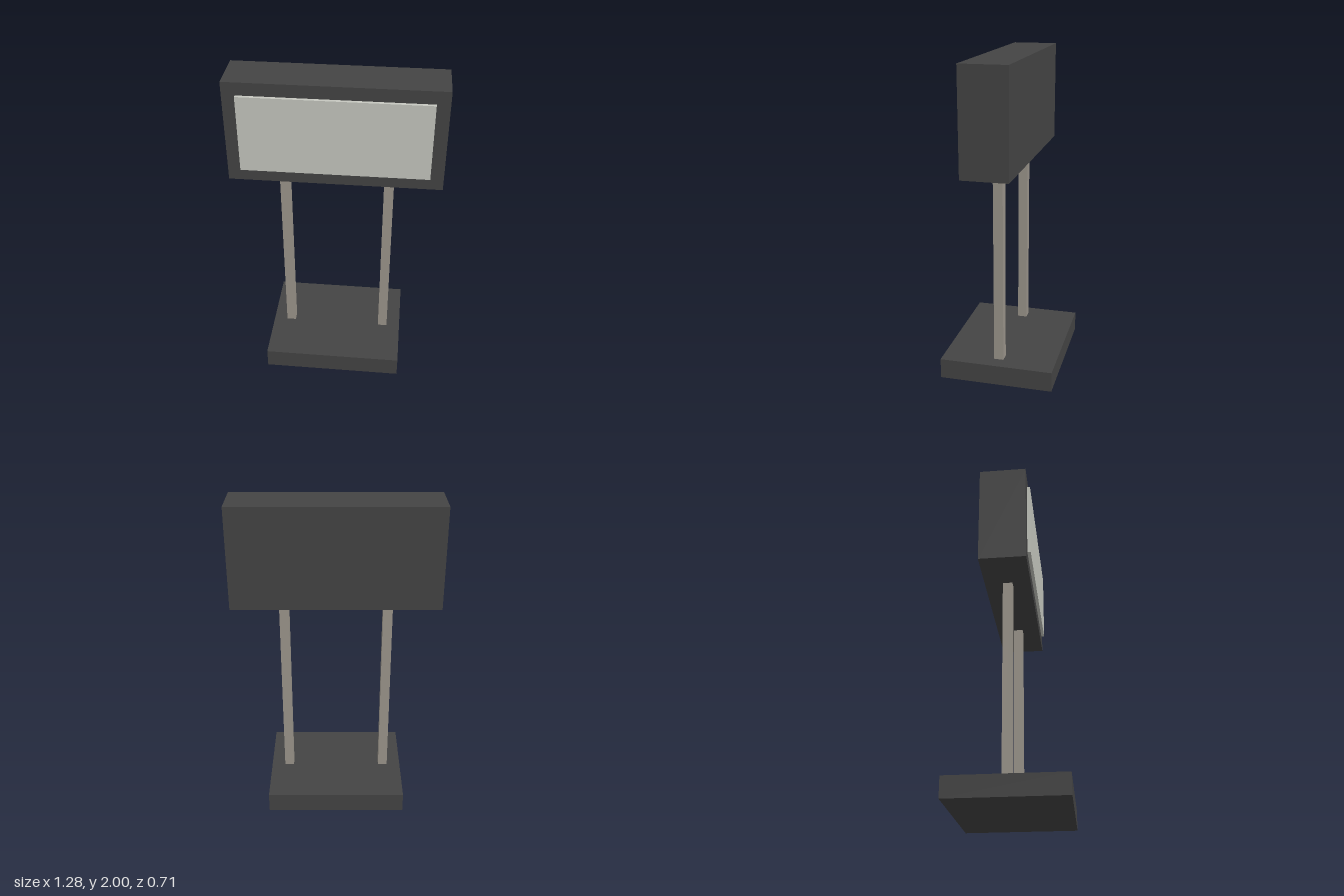
import * as THREE from 'three';

export function createModel() {
  const group = new THREE.Group();
  const material = (name, color) => {
    const m = new THREE.MeshStandardMaterial({ color });
    m.name = name;
    return m;
  };
  const charcoal = material('charcoal', 0x444444);
  const warmGrey = material('warm grey', 0x9c968c);
  const paleGrey = material('pale grey', 0xc6c8c0);

  // Box spanning y0..y1 and z0..z1, centred on x
  const box = (name, mat, x, width, y0, y1, z0, z1) => {
    const mesh = new THREE.Mesh(new THREE.BoxGeometry(width, y1 - y0, z1 - z0), mat);
    mesh.position.set(x, (y0 + y1) / 2, (z0 + z1) / 2);
    mesh.name = name;
    group.add(mesh);
  };

  box('base', charcoal, 0, 0.876, 0, 0.128, -0.357, 0.357);

  // Pair of square posts
  for (const [name, side] of [['leftPost', 1], ['rightPost', -1]]) {
    box(name, warmGrey, side * 0.32, 0.06, 0.128, 1.365, -0.03, 0.03);
  }

  // Display case with its raised front panel
  box('displayCase', charcoal, 0, 1.276, 1.365, 2, -0.142, 0.142);
  box('displayPanel', paleGrey, 0, 1.118, 1.444, 1.921, 0.142, 0.162);

  return group;
}
